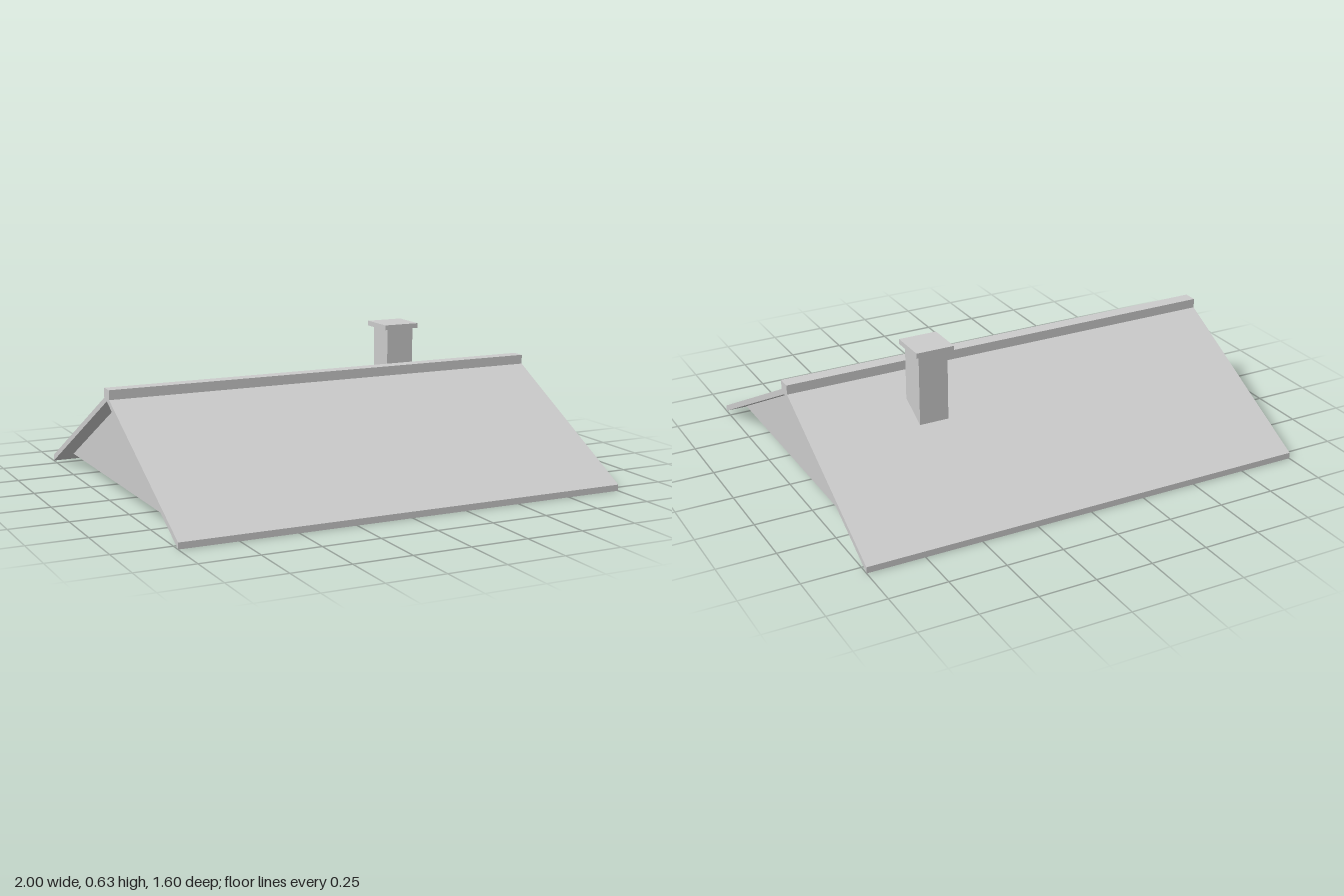
import * as THREE from 'three';

const grey = new THREE.MeshStandardMaterial({ color: 0xcccccc });
grey.name = 'light grey';

export function createModel() {
  const model = new THREE.Group();
  model.name = 'gableRoof';

  const add = (name, geometry, x = 0, y = 0, z = 0) => {
    const mesh = new THREE.Mesh(geometry, grey);
    mesh.name = name;
    mesh.position.set(x, y, z);
    model.add(mesh);
  };

  // Extrudes a z-y outline along x, centred on x = 0
  const extrudeAlongX = (points, length) => {
    const shape = new THREE.Shape(points.map(([z, y]) => new THREE.Vector2(z, y)));
    return new THREE.ExtrudeGeometry(shape, { depth: length, bevelEnabled: false })
      .translate(0, 0, -length / 2)
      .rotateY(Math.PI / 2);
  };

  // Box given by its bottom height
  const addBox = (name, w, h, d, x, bottom, z) =>
    add(name, new THREE.BoxGeometry(w, h, d), x, bottom + h / 2, z);

  // Two sloping roof slabs joined at the ridge
  add('roofSlabs', extrudeAlongX([
    [-0.8, 0], [0, 0.42], [0.8, 0], [0.8, 0.027], [0, 0.447], [-0.8, 0.027],
  ], 2));

  // Closed attic with gable ends set back under the overhang
  add('atticGables', extrudeAlongX([[-0.72, 0.042], [0.72, 0.042], [0, 0.42]], 1.86));

  // Ridge beam along the top
  addBox('ridgeCap', 2, 0.046, 0.062, 0, 0.426, 0);

  // Chimney on the rear slope
  addBox('chimneyStack', 0.13, 0.325, 0.13, 0.46, 0.28, -0.225);
  addBox('chimneyCap', 0.168, 0.022, 0.168, 0.458, 0.605, -0.225);

  return model;
}
